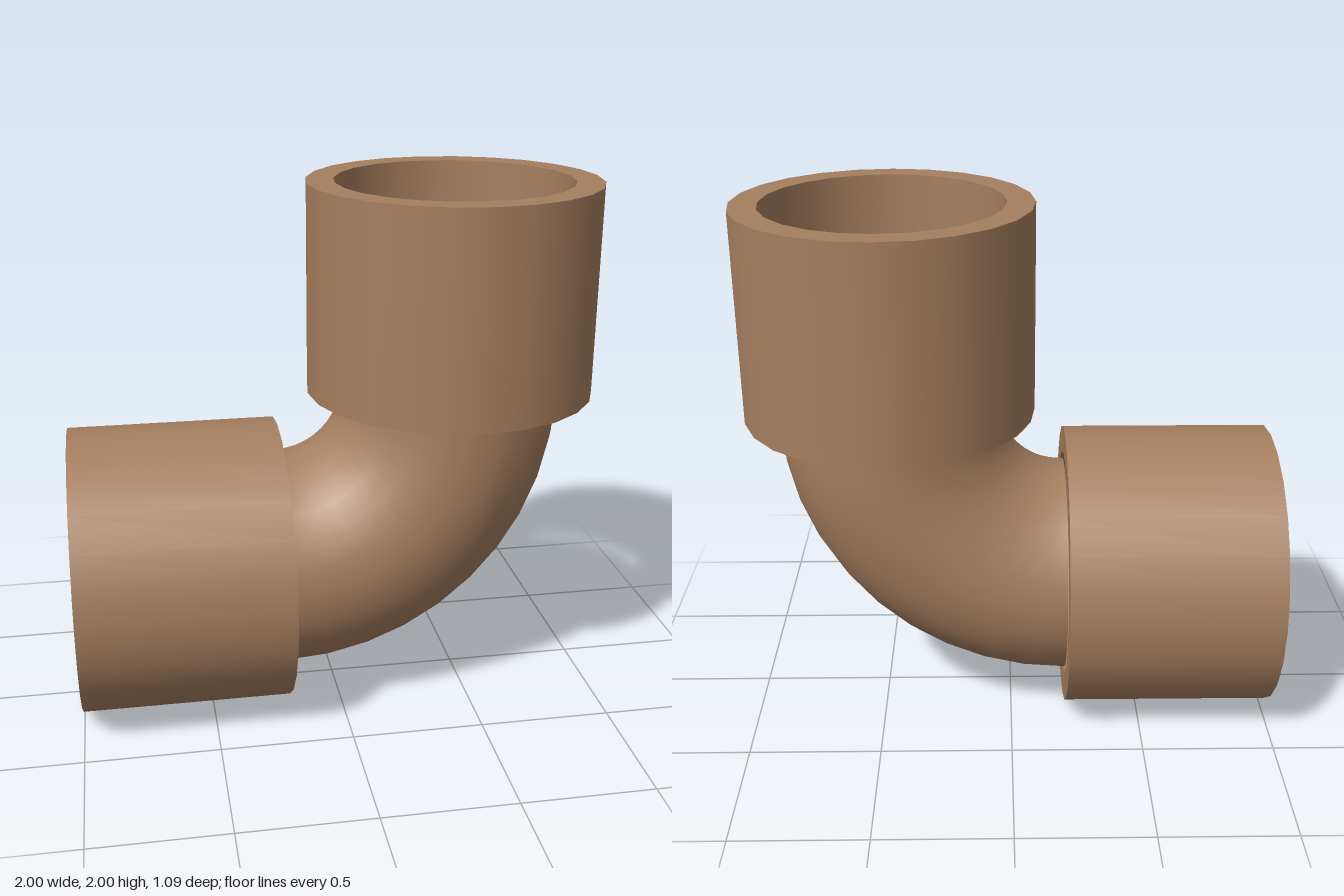
import * as THREE from 'three';
import { mergeGeometries } from 'three/addons/utils/BufferGeometryUtils.js';

const SIDES = 24;
const BEND = 0.663;              // centreline radius of the elbow
const PIVOT = [-0.21, 1.21, 0];  // centre of the bend

// Turns a surface inside out, for bores
function flip(geo) {
  const index = geo.index.array;
  for (let i = 0; i < index.length; i += 3) {
    [index[i], index[i + 1]] = [index[i + 1], index[i]];
  }
  const n = geo.attributes.normal.array;
  for (let i = 0; i < n.length; i++) n[i] = -n[i];
  return geo;
}

// Straight collar along +y, starting at y = 0
function collarGeometry(outer, inner, length) {
  const wall = (r) => new THREE.CylinderGeometry(r, r, length, SIDES, 1, true).translate(0, length / 2, 0);
  const rim = () => new THREE.RingGeometry(inner, outer, SIDES);
  return mergeGeometries([
    wall(outer),
    flip(wall(inner)),
    rim().rotateX(-Math.PI / 2).translate(0, length, 0),
    rim().rotateX(Math.PI / 2),
  ]);
}

// Quarter bend of hollow pipe around the origin, with a flat ring at each end
function elbowGeometry(outer, inner) {
  const wall = (r) => new THREE.TorusGeometry(BEND, r, SIDES, 10, Math.PI / 2).rotateZ(-Math.PI / 2);
  const rim = () => new THREE.RingGeometry(inner, outer, SIDES);
  return mergeGeometries([
    wall(outer),
    flip(wall(inner)),
    rim().rotateX(-Math.PI / 2).translate(BEND, 0, 0),
    rim().rotateY(-Math.PI / 2).translate(0, -BEND, 0),
  ]);
}

export function createModel() {
  const model = new THREE.Group();
  model.name = 'pipeElbow';

  const brown = new THREE.MeshStandardMaterial({ color: 0xa67f60 });
  brown.name = 'brown';

  const add = (name, geometry, position) => {
    const mesh = new THREE.Mesh(geometry, brown);
    mesh.name = name;
    mesh.position.set(...position);
    model.add(mesh);
    return mesh;
  };

  // Curved pipe
  add('elbowPipe', elbowGeometry(0.415, 0.312), PIVOT);

  // Sockets at both ends
  const socket = collarGeometry(0.545, 0.442, 0.79);
  add('topSocket', socket, [PIVOT[0] + BEND, PIVOT[1], 0]);
  add('sideSocket', socket, [PIVOT[0], PIVOT[1] - BEND, 0]).rotation.z = Math.PI / 2;

  return model;
}
